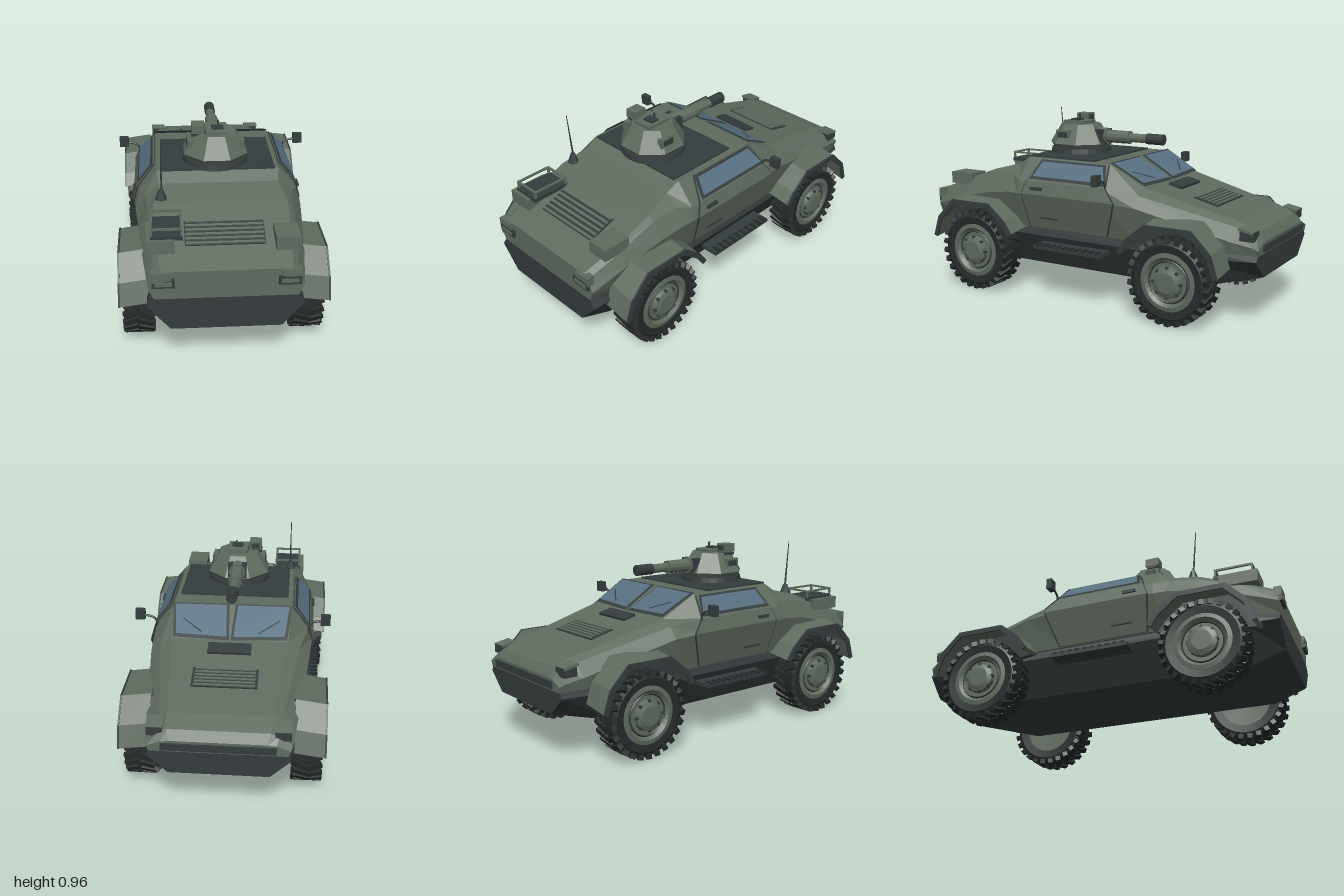
import * as THREE from 'three';

const mat = (name, color) => new THREE.MeshStandardMaterial({ name, color, side: THREE.DoubleSide });

export function createModel() {
  const root = new THREE.Group();
  root.name = 'armouredCar';
  const green = mat('armour green', 0x5f6b5f);
  const dark = mat('dark trim', 0x353c3d);
  const rubber = mat('tyre rubber', 0x262b2b);
  const glass = mat('window glass', 0x566f80);

  // Faceted mesh helper
  function add(name, geo, m, x = 0, y = 0, z = 0, parent = root) {
    const g = geo.index ? geo.toNonIndexed() : geo;
    g.computeVertexNormals();
    const mesh = new THREE.Mesh(g, m);
    mesh.name = name;
    mesh.position.set(x, y, z);
    parent.add(mesh);
    return mesh;
  }
  function box(name, m, w, h, d, x, y, z, rx = 0, parent = root) {
    const b = add(name, new THREE.BoxGeometry(w, h, d), m, x, y, z, parent);
    b.rotation.x = rx;
    return b;
  }
  function fromTriangles(v) {
    const g = new THREE.BufferGeometry();
    g.setAttribute('position', new THREE.Float32BufferAttribute(v, 3));
    return g;
  }
  // Thin convex plate from corner points
  function panel(name, m, pts) {
    const v = [];
    for (let i = 1; i < pts.length - 1; i++) v.push(...pts[0], ...pts[i], ...pts[i + 1]);
    return add(name, fromTriangles(v), m);
  }
  // Mirrored loft: sections run from +z to -z, half outlines from top to bottom
  function loft(sections) {
    const rings = sections.map(([z, ...h]) => [
      ...h.map(([x, y]) => [x, y, z]),
      ...h.slice().reverse().map(([x, y]) => [-x, y, z])]);
    const n = rings[0].length, v = [];
    for (let i = 0; i < rings.length - 1; i++) for (let j = 0; j < n; j++) {
      const k = (j + 1) % n, A = rings[i], B = rings[i + 1];
      v.push(...A[j], ...A[k], ...B[k], ...A[j], ...B[k], ...B[j]);
    }
    const first = rings[0], last = rings[rings.length - 1];
    for (let j = 1; j < n - 1; j++) {
      v.push(...first[0], ...first[j + 1], ...first[j]);
      v.push(...last[0], ...last[j], ...last[j + 1]);
    }
    return fromTriangles(v);
  }

  // Hull
  add('upperHull', loft([
    [0.97, [0.30, 0.515], [0.325, 0.49], [0.36, 0.43], [0.335, 0.372]],
    [0.78, [0.325, 0.585], [0.35, 0.56], [0.385, 0.49], [0.355, 0.372]],
    [0.57, [0.33, 0.66], [0.355, 0.63], [0.405, 0.54], [0.365, 0.372]],
    [0.42, [0.30, 0.70], [0.37, 0.645], [0.42, 0.56], [0.37, 0.372]],
    [0.35, [0.31, 0.742], [0.405, 0.63], [0.425, 0.56], [0.37, 0.372]],
    [-0.165, [0.31, 0.742], [0.405, 0.63], [0.425, 0.56], [0.37, 0.372]],
    [-0.36, [0.30, 0.635], [0.36, 0.605], [0.41, 0.55], [0.37, 0.372]],
    [-0.87, [0.25, 0.51], [0.29, 0.49], [0.355, 0.43], [0.345, 0.372]],
    [-0.96, [0.24, 0.475], [0.28, 0.46], [0.345, 0.415], [0.335, 0.372]],
    [-0.99, [0.23, 0.43], [0.27, 0.425], [0.335, 0.40], [0.325, 0.372]],
  ]), green);
  add('lowerHull', loft([
    [0.97, [0.335, 0.374], [0.365, 0.33], [0.26, 0.21]],
    [0.80, [0.355, 0.374], [0.37, 0.33], [0.27, 0.15]],
    [-0.62, [0.355, 0.374], [0.37, 0.33], [0.27, 0.15]],
    [-0.985, [0.325, 0.374], [0.34, 0.345], [0.24, 0.25]],
  ]), dark);
  box('roofPanel', dark, 0.58, 0.01, 0.41, 0, 0.745, 0.155);
  box('noseBar', dark, 0.54, 0.035, 0.03, 0, 0.40, -0.985);

  // Hood vent, sight block and rear engine grille
  box('hoodVent', dark, 0.325, 0.008, 0.135, 0, 0.569, -0.635, -0.24);
  for (let i = 0; i < 6; i++) {
    const z = -0.69 + i * 0.022;
    box('hoodSlat', green, 0.30, 0.008, 0.012, 0, 0.574 + 0.245 * (z + 0.635), z, -0.24);
  }
  box('hoodBlock', dark, 0.22, 0.032, 0.075, -0.005, 0.615, -0.43, -0.24);
  box('rearGrille', dark, 0.38, 0.008, 0.155, 0.005, 0.594, 0.755, 0.35);
  for (let i = 0; i < 6; i++) {
    const z = 0.69 + i * 0.026;
    box('rearSlat', green, 0.37, 0.012, 0.013, 0.005, 0.60 - 0.3625 * (z - 0.755), z, 0.35);
  }

  // Stowage on the rear deck
  box('rearBoxLeft', green, 0.115, 0.065, 0.15, 0.295, 0.59, 0.80);
  box('rearBoxRight', green, 0.135, 0.065, 0.20, -0.30, 0.59, 0.78);
  box('rackFloor', dark, 0.15, 0.02, 0.21, -0.27, 0.626, 0.755);
  for (const x of [-0.34, -0.20]) {
    box('rackRail', green, 0.01, 0.01, 0.20, x, 0.67, 0.755);
    for (const z of [0.66, 0.85]) box('rackPost', green, 0.01, 0.045, 0.01, x, 0.65, z);
  }
  for (const z of [0.66, 0.85]) box('rackCrossRail', green, 0.14, 0.01, 0.01, -0.27, 0.67, z);

  // Antenna
  add('antennaBase', new THREE.CylinderGeometry(0.012, 0.03, 0.05, 8), dark, -0.29, 0.695, 0.53);
  add('antenna', new THREE.CylinderGeometry(0.002, 0.006, 0.26, 6), dark, -0.287, 0.83, 0.542).rotation.x = 0.09;

  // Wheel: tyre, chevron lugs, rim and bolts
  function wheel(s, z) {
    const w = new THREE.Group();
    w.name = 'wheel';
    w.position.set(s * 0.412, 0.222, z);
    w.rotation.z = -s * Math.PI / 2;
    root.add(w);
    const lathe = (p, n) => new THREE.LatheGeometry(p.map(([a, b]) => new THREE.Vector2(a, b)), n);
    add('tyre', lathe([[0.14, -0.062], [0.185, -0.068], [0.207, -0.056], [0.207, 0.056], [0.185, 0.068], [0.14, 0.062]], 40), rubber, 0, 0, 0, w);
    for (let i = 0; i < 26; i++) for (const t of [-1, 1]) {
      const lug = new THREE.BoxGeometry(0.026, 0.08, 0.028);
      lug.rotateX(t * 0.4);
      lug.translate(0.207, t * 0.035, 0);
      lug.rotateY((i + (t > 0 ? 0.25 : 0)) * Math.PI * 2 / 26);
      add('tyreLug', lug, rubber, 0, 0, 0, w);
    }
    add('rim', lathe([[0, -0.05], [0.145, -0.06], [0.147, 0.066], [0.125, 0.07], [0.108, 0.055],
      [0.08, 0.055], [0.075, 0.075], [0.05, 0.085], [0, 0.085]], 32), green, 0, 0, 0, w);
    const ring = new THREE.TorusGeometry(0.104, 0.005, 4, 32).rotateX(Math.PI / 2);
    add('rimRing', ring, dark, 0, 0.056, 0, w);
    for (let i = 0; i < 8; i++) {
      const a = i * Math.PI / 4;
      add('wheelBolt', new THREE.CylinderGeometry(0.009, 0.009, 0.015, 6), dark, 0.074 * Math.cos(a), 0.07, 0.074 * Math.sin(a), w);
    }
  }

  // Angular fender around an arch, with trim lip and dark wheel well
  const arch = [[0.27, 0.30], [0.235, 0.41], [0.13, 0.515], [-0.12, 0.515], [-0.225, 0.43], [-0.27, 0.365]];
  function archBand(inner, outer, depth) {
    const scaled = (k) => arch.map(([a, b]) => new THREE.Vector2(a * k, 0.22 + (b - 0.22) * k));
    const pts = inner ? [...scaled(outer), ...scaled(inner).reverse()] : scaled(outer);
    return new THREE.ExtrudeGeometry(new THREE.Shape(pts), { depth, bevelEnabled: false });
  }
  function fender(s, z, dir) {
    const part = (name, geo, m, x0, x1) => {
      const p = geo.attributes.position;
      for (let i = 0; i < p.count; i++) {
        const x = p.getZ(i) > 0 ? x1 : x0;
        p.setXYZ(i, s * x, p.getY(i) - 0.14 * (x - 0.36), dir * p.getX(i));
      }
      // Keep faces outward when the rule mirrors the shape
      if (s * dir > 0) for (let i = 0; i < p.count; i += 3) {
        const a = new THREE.Vector3().fromBufferAttribute(p, i + 1), b = new THREE.Vector3().fromBufferAttribute(p, i + 2);
        p.setXYZ(i + 1, b.x, b.y, b.z);
        p.setXYZ(i + 2, a.x, a.y, a.z);
      }
      add(name, geo, m, 0, 0, z);
    };
    part('fender', archBand(0.93, 1, 1), green, 0.35, 0.495);
    part('fenderLip', archBand(0.92, 1.01, 1), dark, 0.495, 0.504);
    part('wheelWell', archBand(0, 0.94, 1), dark, 0.34, 0.395);
  }

  // Cabin side surface: x at height y
  const levels = [[0.372, 0.37], [0.56, 0.425], [0.63, 0.405], [0.742, 0.31]];
  function sideX(y) {
    let i = 0;
    while (i < 2 && y > levels[i + 1][0]) i++;
    const [y0, x0] = levels[i], [y1, x1] = levels[i + 1];
    return x0 + (x1 - x0) * (y - y0) / (y1 - y0);
  }
  const sidePanel = (name, m, s, off, pts) => panel(name, m, pts.map(([z, y]) => [s * (sideX(y) + off), y + off * 0.5, z]));
  const doorEdges = [[0.372, -0.18, 0.30], [0.56, -0.25, 0.32], [0.63, -0.19, 0.295], [0.735, -0.16, 0.25]];

  for (const s of [-1, 1]) {
    for (const [z, dir] of [[0.615, 1], [-0.588, -1]]) {
      wheel(s, z);
      fender(s, z, dir);
    }
    // Door with dark seal, window, handles
    for (let i = 0; i < 3; i++) {
      const [y0, a0, b0] = doorEdges[i], [y1, a1, b1] = doorEdges[i + 1];
      sidePanel('doorSeal', dark, s, 0.003, [[a0 - 0.008, y0], [b0 + 0.008, y0], [b1 + 0.008, y1], [a1 - 0.008, y1]]);
      sidePanel('door', green, s, 0.007, [[a0, y0], [b0, y0], [b1, y1], [a1, y1]]);
    }
    sidePanel('sideWindowFrame', dark, s, 0.011, [[-0.195, 0.637], [0.28, 0.637], [0.255, 0.733], [-0.15, 0.733]]);
    sidePanel('sideWindow', glass, s, 0.015, [[-0.18, 0.65], [0.262, 0.65], [0.24, 0.722], [-0.14, 0.722]]);
    box('doorHandle', dark, 0.02, 0.016, 0.07, s * 0.425, 0.595, 0.225);
    box('doorGrip', dark, 0.015, 0.01, 0.11, s * 0.394, 0.435, 0.17);
    // Mirror on a bent arm
    const arm = new THREE.CatmullRomCurve3([[0.405, 0.59], [0.405, 0.65], [0.43, 0.672], [0.48, 0.68]]
      .map(([x, y]) => new THREE.Vector3(s * x, y, -0.19)));
    add('mirrorArm', new THREE.TubeGeometry(arm, 8, 0.006, 6), dark);
    box('mirror', dark, 0.05, 0.055, 0.03, s * 0.49, 0.685, -0.19);
    // Side step with treads
    box('sideStep', dark, 0.10, 0.02, 0.42, s * 0.41, 0.29, 0.015);
    for (let i = 0; i < 10; i++) box('stepTread', rubber, 0.045, 0.008, 0.02, s * 0.442, 0.302, -0.17 + i * 0.041);
    // Windshield pane and wiper
    const pane = (name, m, off, g) => panel(name, m, [[0.018 - g, -0.355 - g], [0.28 + g, -0.345 - g], [0.30 + g, -0.18 + g], [0.03 - g, -0.18 + g]]
      .map(([x, z]) => [s * x, 0.742 + (z + 0.165) * 0.549 + off, z]));
    pane('windshieldFrame', dark, 0.008, 0.014);
    pane('windshield', glass, 0.014, 0);
    const wiper = box('wiper', dark, 0.008, 0.006, 0.13, s * 0.2, 0.682, -0.295, -0.5);
    wiper.rotation.y = s * 0.9;
    // Lamps
    box('headlight', dark, 0.075, 0.045, 0.07, s * 0.30, 0.462, -0.93);
    box('headlightGuard', green, 0.08, 0.012, 0.08, s * 0.30, 0.488, -0.925, -0.2);
    box('tailLight', dark, 0.105, 0.042, 0.03, s * 0.29, 0.46, 0.97);
    box('tailLightLens', green, 0.08, 0.02, 0.006, s * 0.29, 0.46, 0.986);
    box('rearCornerBlock', green, 0.09, 0.05, 0.04, s * 0.30, 0.49, 0.965);
  }

  // Turret
  const turret = new THREE.Group();
  turret.name = 'turret';
  turret.position.set(-0.005, 0, 0.22);
  root.add(turret);
  add('turretRing', new THREE.CylinderGeometry(0.165, 0.17, 0.03, 24), dark, 0, 0.76, 0, turret);
  const shell = new THREE.LatheGeometry([[0, 0.772], [0.155, 0.772], [0.176, 0.80], [0.112, 0.905], [0, 0.905]]
    .map(([r, y]) => new THREE.Vector2(r, y)), 8, Math.PI / 8);
  add('turretShell', shell, green, 0, 0, 0, turret);
  for (const s of [-1, 1]) {
    box('turretSideBlock', green, 0.03, 0.05, 0.09, s * 0.13, 0.85, 0.03, 0, turret);
    box('turretSidePort', dark, 0.008, 0.03, 0.06, s * 0.145, 0.85, 0.03, 0, turret);
  }
  box('hatch', green, 0.11, 0.02, 0.14, 0.005, 0.912, 0.01, 0, turret);
  box('hatchHandle', dark, 0.06, 0.012, 0.05, 0.01, 0.925, 0.02, 0, turret);
  box('hatchPin', dark, 0.008, 0.035, 0.008, 0.015, 0.94, 0, 0, turret);
  box('sightMount', dark, 0.09, 0.014, 0.06, -0.08, 0.90, 0.03, 0, turret);
  box('sight', green, 0.065, 0.045, 0.075, -0.09, 0.932, 0.03, 0, turret);
  box('sightLens', dark, 0.045, 0.026, 0.008, -0.09, 0.932, -0.009, 0, turret);

  // Gun: stepped barrel segments [radius, back z, front z, material]
  const gun = [[0.045, 0.10, 0.04, green], [0.035, 0.04, -0.10, green], [0.024, -0.10, -0.215, green], [0.029, -0.205, -0.305, dark]];
  for (const [r, z0, z1, m] of gun) {
    const barrel = new THREE.CylinderGeometry(r, r, z0 - z1, 12).rotateX(Math.PI / 2);
    add('gunBarrel', barrel, m, -0.005, 0.842, (z0 + z1) / 2);
  }
  box('gunMantlet', dark, 0.10, 0.075, 0.05, -0.005, 0.842, 0.075);
  return root;
}
